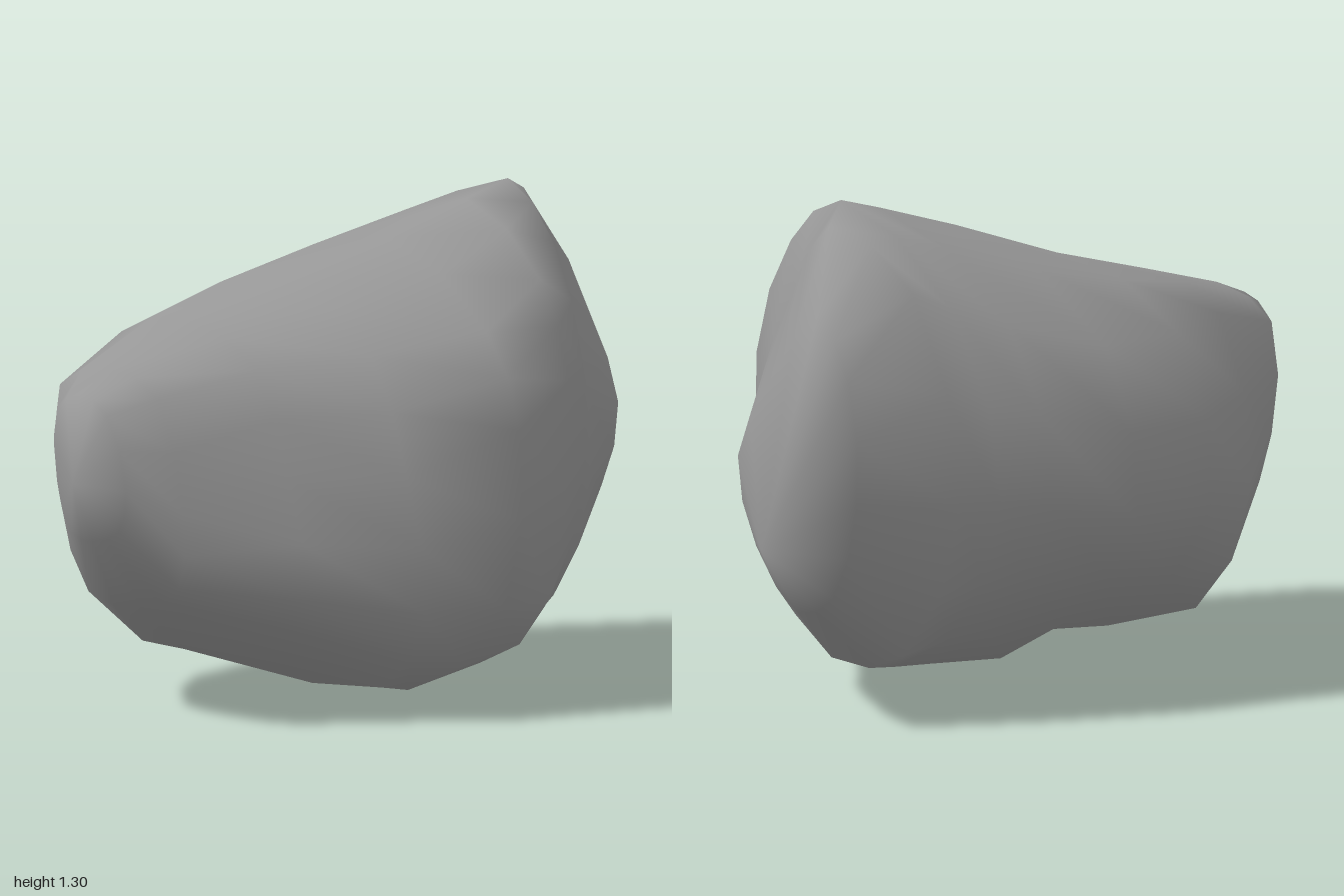
import * as THREE from 'three';

const SIDES = 16;

// Pointed ends of the boulder
const backTip = [-0.18, 0.51, -1];
const frontTip = [0.11, 0.67, 1];

// Cross-sections from back to front: z, then x,y corners from the top round by +x
const backHalf = [
  { z: -0.8, pts: [-0.18, 1.1, 0.0, 0.9, 0.12, 0.68, 0.05, 0.45, -0.11, 0.3, -0.24, 0.36, -0.33, 0.62, -0.3, 0.95] },
  { z: -0.55, pts: [0.04, 1.265, 0.17, 1.08, 0.31, 0.75, 0.27, 0.35, 0.03, 0.115, -0.25, 0.17, -0.46, 0.6, -0.28, 1.14] },
  { z: -0.45, pts: [0.1, 1.31, 0.29, 1.17, 0.42, 0.85, 0.375, 0.4, 0.1, 0.08, -0.3, 0.2, -0.51, 0.6, -0.32, 1.09] },
  { z: -0.32, pts: [0.09, 1.27, 0.4, 1.1, 0.52, 0.85, 0.44, 0.26, 0.15, 0.05, -0.33, 0.2, -0.56, 0.58, -0.4, 1.04] },
  { z: -0.08, pts: [0.06, 1.19, 0.48, 1.0, 0.62, 0.76, 0.56, 0.28, 0.15, 0.005, -0.36, 0.2, -0.63, 0.52, -0.51, 0.965] },
];
const frontHalf = [
  { z: 0.2, pts: [-0.03, 1.085, 0.35, 0.95, 0.5, 0.65, 0.58, 0.3, 0.4, 0.08, -0.22, 0.12, -0.61, 0.5, -0.49, 0.95] },
  { z: 0.46, pts: [-0.08, 1.01, 0.2, 0.92, 0.33, 0.65, 0.41, 0.34, 0.08, 0.2, -0.28, 0.135, -0.49, 0.5, -0.37, 0.94] },
  { z: 0.75, pts: [-0.05, 0.92, 0.15, 0.87, 0.26, 0.58, 0.24, 0.38, 0.08, 0.31, -0.14, 0.32, -0.26, 0.55, -0.26, 0.85] },
  { z: 0.87, pts: [-0.03, 0.87, 0.09, 0.83, 0.17, 0.64, 0.14, 0.53, 0.03, 0.49, -0.06, 0.5, -0.12, 0.63, -0.12, 0.82] },
];
const sections = [...backHalf, ...frontHalf];

// Rounds a section's corners into a closed ring
function ring({ z, pts }) {
  const corners = [];
  for (let i = 0; i < pts.length; i += 2) corners.push(new THREE.Vector3(pts[i], pts[i + 1], z));
  const curve = new THREE.CatmullRomCurve3(corners, true);
  return Array.from({ length: SIDES }, (_, i) => curve.getPoint(i / SIDES));
}

// Skins the rings and closes both ends to a point
function loft() {
  const positions = [];
  const index = [];
  for (const s of sections) for (const p of ring(s)) positions.push(p.x, Math.max(p.y, 0), p.z);
  const back = sections.length * SIDES;
  const front = back + 1;
  positions.push(...backTip, ...frontTip);
  const last = sections.length - 1;
  for (let i = 0; i < SIDES; i++) {
    const j = (i + 1) % SIDES;
    index.push(back, i, j);
    for (let r = 0; r < last; r++) {
      const a = r * SIDES + i;
      const b = r * SIDES + j;
      index.push(a, a + SIDES, b, b, a + SIDES, b + SIDES);
    }
    index.push(last * SIDES + i, front, last * SIDES + j);
  }
  const geometry = new THREE.BufferGeometry();
  geometry.setAttribute('position', new THREE.Float32BufferAttribute(positions, 3));
  geometry.setIndex(index);
  geometry.computeVertexNormals();
  return geometry;
}

export function createModel() {
  const group = new THREE.Group();
  group.name = 'rock';
  const boulder = new THREE.Mesh(loft(), new THREE.MeshStandardMaterial({ color: 0x979797 }));
  boulder.name = 'boulder';
  group.add(boulder);
  return group;
}
